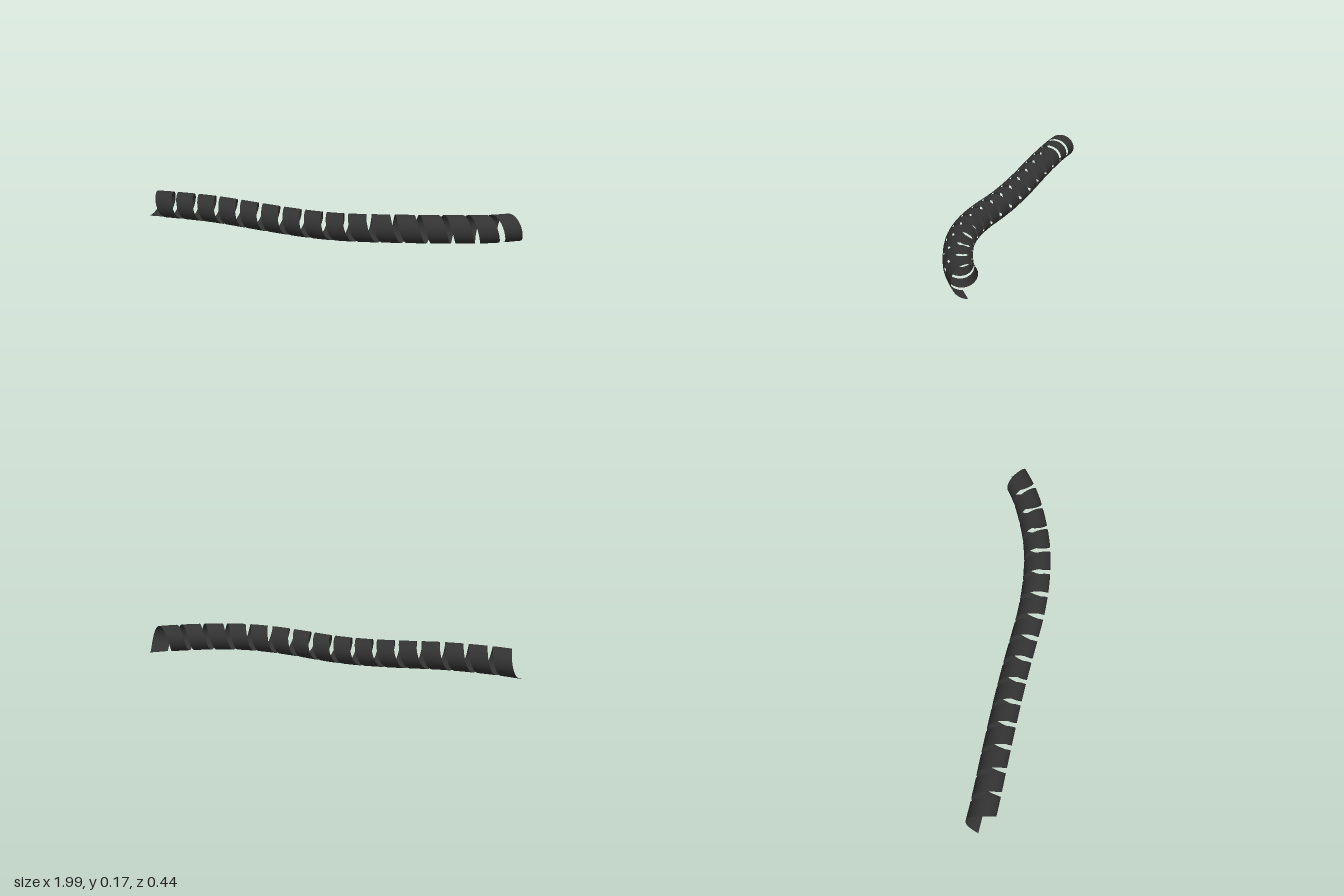
import * as THREE from 'three';

const RADIUS = 0.071, WIDTH = 0.095, TURNS = 16, STEPS_PER_TURN = 40, ACROSS = 4;

// Centre line of the coil, gently sagging and bending backwards at its left end
const centreLine = new THREE.CatmullRomCurve3([
  [-1, 0.099, 0.147], [-0.85, 0.103, 0.142], [-0.6, 0.1, 0.126], [-0.3, 0.081, 0.109],
  [-0.1, 0.072, 0.103], [0.05, 0.072, 0.102], [0.2, 0.079, 0.099], [0.38, 0.089, 0.078],
  [0.55, 0.094, 0.035], [0.7, 0.093, -0.03], [0.84, 0.09, -0.112], [0.965, 0.089, -0.22],
].map((p) => new THREE.Vector3(...p)));
centreLine.arcLengthDivisions = 600;

// Point on the tube around the centre line: angle 0 is the bottom, then back, top, front
function tubePoint(distance, angle, length) {
  const u = THREE.MathUtils.clamp(distance / length, 0, 1);
  const tangent = centreLine.getTangentAt(u);
  const side = new THREE.Vector3().crossVectors(tangent, new THREE.Vector3(0, 1, 0)).normalize();
  const up = new THREE.Vector3().crossVectors(side, tangent);
  return centreLine.getPointAt(u)
    .addScaledVector(up, -Math.cos(angle) * RADIUS)
    .addScaledVector(side, -Math.sin(angle) * RADIUS);
}

// Flat ribbon wound along the tube
function ribbonGeometry() {
  const length = centreLine.getLength();
  const steps = TURNS * STEPS_PER_TURN;
  const positions = [], indices = [];
  for (let i = 0; i <= steps; i++) {
    const t = i / steps;
    const start = t * (length - WIDTH);
    for (let j = 0; j <= ACROSS; j++) {
      const p = tubePoint(start + (j / ACROSS) * WIDTH, t * TURNS * Math.PI * 2, length);
      positions.push(p.x, p.y, p.z);
      if (i < steps && j < ACROSS) {
        const a = i * (ACROSS + 1) + j, b = a + ACROSS + 1;
        indices.push(a, a + 1, b, b, a + 1, b + 1);
      }
    }
  }
  const geometry = new THREE.BufferGeometry();
  geometry.setAttribute('position', new THREE.Float32BufferAttribute(positions, 3));
  geometry.setIndex(indices);
  geometry.computeVertexNormals();
  return geometry;
}

export function createModel() {
  const group = new THREE.Group();
  group.name = 'spiralWrap';
  const material = new THREE.MeshStandardMaterial({ color: 0x333333, side: THREE.DoubleSide });
  const ribbon = new THREE.Mesh(ribbonGeometry(), material);
  ribbon.name = 'coiledRibbon';
  group.add(ribbon);
  return group;
}
